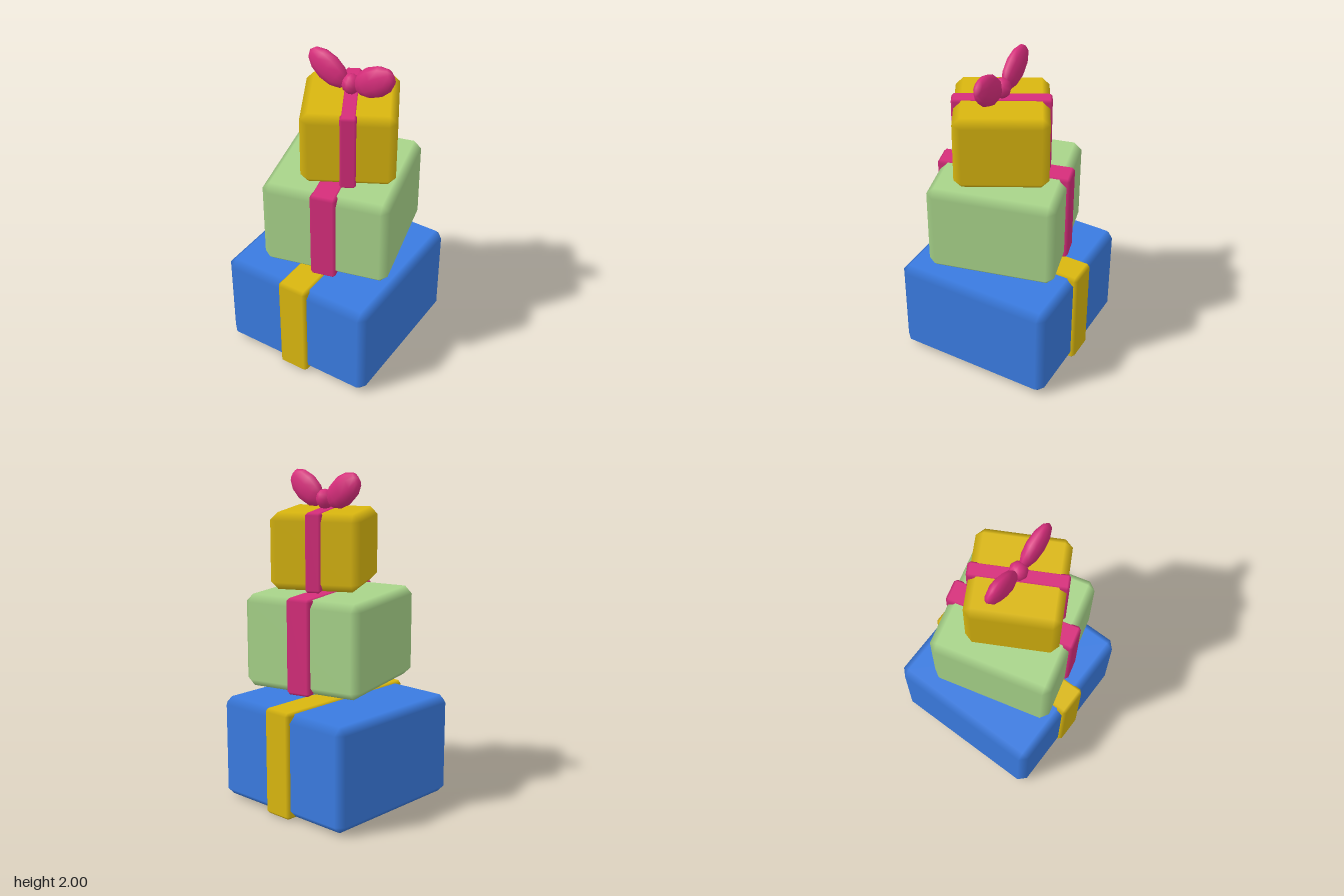
import * as THREE from 'three';

const mat = (name, color) => new THREE.MeshStandardMaterial({ name, color });

// Box with flat faces and one soft bevel strip along every edge and corner
function bevelBox(hx, hy, hz, bevel) {
  const half = [hx, hy, hz], signs = [-1, 1];
  const points = [], normals = [], index = [];
  for (let corner = 0; corner < 8; corner++) {
    const s = [0, 1, 2].map((k) => ((corner >> k) & 1 ? 1 : -1));
    for (let axis = 0; axis < 3; axis++) {
      points.push(new THREE.Vector3(...half.map((h, k) => s[k] * (k === axis ? h : h - bevel))));
      normals.push(...s.map((v, k) => (k === axis ? v : 0)));
    }
  }
  const id = (s, axis) => 3 * s.reduce((sum, v, k) => sum + (v > 0 ? 1 << k : 0), 0) + axis;
  const tri = (a, b, c) => {
    const [p, q, r] = [a, b, c].map((i) => points[i]);
    const n = q.clone().sub(p).cross(r.clone().sub(p));
    const outward = n.dot(p.clone().add(q).add(r)) > 0;
    index.push(a, ...(outward ? [b, c] : [c, b]));
  };
  const quad = (a, b, c, d) => { tri(a, b, c); tri(a, c, d); };
  for (let a = 0; a < 3; a++) {
    const b = (a + 1) % 3, c = (a + 2) % 3;
    const at = (sa, sb, sc, axis) => {
      const s = [];
      s[a] = sa; s[b] = sb; s[c] = sc;
      return id(s, axis);
    };
    // main faces
    for (const s of signs) quad(at(s, -1, -1, a), at(s, 1, -1, a), at(s, 1, 1, a), at(s, -1, 1, a));
    // edge strips
    for (const s of signs) for (const t of signs) {
      quad(at(s, t, -1, a), at(s, t, 1, a), at(s, t, 1, b), at(s, t, -1, b));
    }
  }
  // corner triangles
  for (let i = 0; i < 24; i += 3) tri(i, i + 1, i + 2);

  const g = new THREE.BufferGeometry();
  g.setAttribute('position', new THREE.Float32BufferAttribute(points.flatMap((p) => p.toArray()), 3));
  g.setAttribute('normal', new THREE.Float32BufferAttribute(normals, 3));
  g.setIndex(index);
  return g;
}

export function createModel() {
  const model = new THREE.Group();
  model.name = 'giftStack';
  const blue = mat('blue paper', 0x3a7be0);
  const green = mat('green paper', 0xa8d48a);
  const yellow = mat('golden yellow', 0xd9b60f);
  const pink = mat('pink ribbon', 0xd62d7b);

  const add = (parent, name, geometry, material, x = 0, y = 0, z = 0) => {
    const mesh = new THREE.Mesh(geometry, material);
    mesh.name = name;
    mesh.position.set(x, y, z);
    parent.add(mesh);
    return mesh;
  };

  // Three presents, each a wrapped box with a ribbon band around it
  const presents = [
    { name: 'bottomPresent', x: -0.003, y: 0.327, turn: 0, paper: blue, ribbon: yellow,
      box: [0.495, 0.315, 0.495], band: [0.099, 0.327, 0.515], bevel: 0.02 },
    { name: 'middlePresent', x: 0.042, y: 1.015, turn: 0.25, paper: green, ribbon: pink,
      box: [0.381, 0.279, 0.381], band: [0.077, 0.287, 0.4], bevel: 0.017 },
    { name: 'topPresent', x: 0.0875, y: 1.548, turn: 0.5, paper: yellow, ribbon: pink,
      box: [0.27, 0.226, 0.27], band: [0.047, 0.232, 0.283], bevel: 0.014 },
  ];
  for (const p of presents) {
    const present = new THREE.Group();
    present.name = p.name;
    present.position.set(p.x, p.y, 0);
    present.rotation.y = p.turn;
    add(present, 'box', bevelBox(...p.box, 0.045), p.paper);
    add(present, 'ribbonBand', bevelBox(...p.band, p.bevel), p.ribbon);
    model.add(present);
  }

  // Bow: a small knot and two mirrored loops
  const bow = new THREE.Group();
  bow.name = 'bow';
  bow.position.set(0.0875, 0, 0);
  add(bow, 'knot', new THREE.SphereGeometry(1, 8, 6).scale(0.054, 0.06, 0.056), pink, 0, 1.835, 0);
  for (const side of [-1, 1]) {
    const loop = new THREE.SphereGeometry(1, 10, 6).rotateZ(Math.PI / 2).scale(0.144, 0.092, 0.05);
    add(bow, side > 0 ? 'leftLoop' : 'rightLoop', loop, pink, side * 0.15, 1.893, 0)
      .rotation.z = side * 0.58;
  }
  model.add(bow);
  return model;
}
